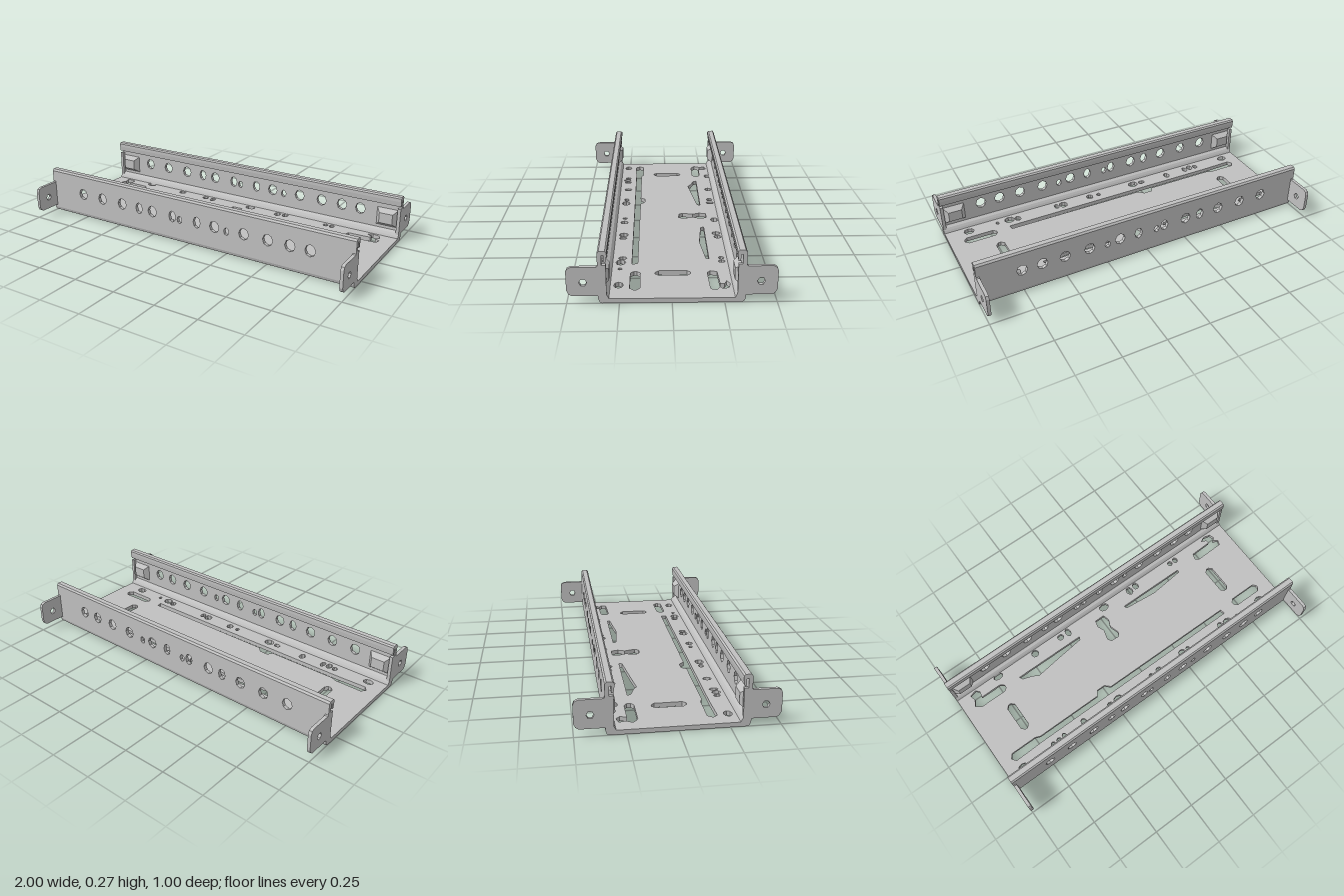
import * as THREE from 'three';

const steel = new THREE.MeshStandardMaterial({ color: 0xc0c0c0 });
steel.name = 'steelGrey';

// Closed outline from [a, b] points
const outline = (pts, C = THREE.Shape) => new C(pts.map(([a, b]) => new THREE.Vector2(a, b)));

// Many-sided opening centred at (cx, cy)
function hole(cx, cy, rx, ry = rx, n = 8) {
  const pts = [];
  for (let i = 0; i < n; i++) {
    const t = (i / n) * Math.PI * 2;
    pts.push([cx + rx * Math.cos(t), cy + ry * Math.sin(t)]);
  }
  return outline(pts, THREE.Path);
}

// Round-ended slot between two corners
function slot(x0, y0, x1, y1) {
  const r = Math.min(x1 - x0, y1 - y0) * 0.35;
  return outline([[x0 + r, y0], [x1 - r, y0], [x1, y0 + r], [x1, y1 - r],
    [x1 - r, y1], [x0 + r, y1], [x0, y1 - r], [x0, y0 + r]], THREE.Path);
}

const sheet = (shape, depth) => new THREE.ExtrudeGeometry(shape, { depth, bevelEnabled: false });

function part(name, geometry, parent) {
  const mesh = new THREE.Mesh(geometry, steel);
  mesh.name = name;
  parent.add(mesh);
}

// Profile in (z, y) swept along x, centred on cx
const sweep = (shape, width, cx = 0) =>
  sheet(shape, width).rotateY(-Math.PI / 2).translate(cx + width / 2, 0, 0);

function buildFloor(parent) {
  const s = outline([[-1, -0.32], [1, -0.32], [1, 0.32], [-1, 0.32]]);
  const poly = (pts) => outline(pts, THREE.Path);
  s.holes.push(
    // corner slots with a notch on the back pair
    poly([[-0.92, -0.28], [-0.88, -0.29], [-0.86, -0.27], [-0.87, -0.235], [-0.74, -0.235],
      [-0.72, -0.22], [-0.72, -0.2], [-0.74, -0.185], [-0.9, -0.185], [-0.93, -0.21], [-0.91, -0.245]]),
    poly([[0.83, -0.275], [0.86, -0.29], [0.9, -0.28], [0.91, -0.25], [0.89, -0.237], [0.92, -0.22],
      [0.91, -0.19], [0.74, -0.185], [0.72, -0.2], [0.73, -0.235], [0.86, -0.24], [0.86, -0.262]]),
    slot(0.72, 0.155, 0.915, 0.205),
    // upright slots near the ends
    slot(-0.785, -0.1, -0.735, 0.08), slot(0.715, -0.1, 0.765, 0.08),
    // tapered openings
    poly([[-0.62, -0.205], [-0.18, -0.205], [-0.19, -0.187], [-0.37, -0.165], [-0.52, -0.145], [-0.55, -0.165], [-0.61, -0.185]]),
    poly([[0.16, -0.205], [0.58, -0.205], [0.58, -0.19], [0.37, -0.168], [0.17, -0.187]]),
    // central keyhole
    poly([[-0.04, -0.23], [0.02, -0.23], [0.03, -0.19], [0.012, -0.15], [0.03, -0.09],
      [0.015, -0.065], [-0.035, -0.068], [-0.05, -0.09], [-0.033, -0.15], [-0.05, -0.19]]),
    // long front slot
    poly([[-0.93, 0.18], [-0.91, 0.155], [-0.75, 0.155], [-0.72, 0.167], [-0.31, 0.167], [-0.29, 0.138],
      [-0.24, 0.138], [-0.21, 0.167], [0.63, 0.17], [0.635, 0.2], [-0.73, 0.2], [-0.91, 0.205]]),
  );
  // small punched holes: x, z, half width, half depth
  [[-0.72, -0.285, 0.03, 0.018], [-0.46, -0.275, 0.022, 0.022], [-0.275, -0.27, 0.02, 0.018],
    [-0.22, -0.27, 0.016, 0.025], [0.055, -0.275, 0.03, 0.022], [0.25, -0.27, 0.02, 0.025],
    [0.3, -0.275, 0.018, 0.022], [0.57, -0.27, 0.015, 0.015], [0.61, -0.27, 0.015, 0.018],
    [-0.9, 0.26, 0.03, 0.022], [-0.685, 0.255, 0.015, 0.018], [-0.645, 0.26, 0.018, 0.024],
    [-0.605, 0.255, 0.014, 0.024], [-0.465, 0.25, 0.018, 0.024], [-0.28, 0.255, 0.02, 0.015],
    [-0.22, 0.257, 0.03, 0.025], [0.025, 0.255, 0.012, 0.014], [0.085, 0.257, 0.02, 0.022],
    [0.265, 0.255, 0.025, 0.026], [0.31, 0.257, 0.014, 0.022], [0.565, 0.25, 0.018, 0.022],
    [0.615, 0.258, 0.03, 0.026], [0.69, 0.26, 0.01, 0.012], [0.865, 0.26, 0.03, 0.024],
  ].forEach((h) => s.holes.push(hole(...h)));
  part('floorPlate', sheet(s, 0.024).rotateX(Math.PI / 2).translate(0, 0.024, 0), parent);
}

// One long side; flip keeps the hole spacing aligned on the turned side
function buildSide(name, flip) {
  const side = new THREE.Group();
  side.name = name;

  // perforated wall, flush with the lip and bend on its outer face
  const w = outline([[-1, 0.06], [1, 0.06], [1, 0.25], [-1, 0.25]]);
  [-0.76, -0.61, -0.46, -0.335, -0.24, -0.1, 0.065, 0.18, 0.365, 0.51, 0.64, 0.755].forEach((x, i) =>
    w.holes.push(hole(x * flip, 0.15, i === 3 || i === 5 || i === 6 ? 0.023 : 0.03, 0.034)));
  [-0.05, 0.257].forEach((x) => w.holes.push(hole(x * flip, 0.14, 0.016, 0.022)));
  part('perforatedWall', sheet(w, 0.02).translate(0, 0, 0.33), side);

  // lip folded inward over the wall top
  part('foldedLip', sweep(outline([[0.35, 0.25], [0.35, 0.26], [0.342, 0.271], [0.313, 0.271],
    [0.305, 0.263], [0.305, 0.245], [0.309, 0.215], [0.32, 0.215], [0.32, 0.25]]), 2), side);

  // rounded bend between wall and floor
  part('bottomBend', sweep(outline([[0.3, 0], [0.332, 0], [0.344, 0.007], [0.35, 0.025], [0.35, 0.06],
    [0.33, 0.06], [0.314, 0.05], [0.306, 0.038], [0.3, 0.024]]), 2), side);

  for (const e of [-1, 1]) {
    // mounting ear with a bolt hole
    const t = outline([[0.31, 0.04], [0.475, 0.04], [0.49, 0.05], [0.499, 0.07], [0.499, 0.165],
      [0.492, 0.182], [0.475, 0.19], [0.355, 0.19], [0.345, 0.2], [0.31, 0.2]]);
    t.holes.push(hole(0.42, 0.11, 0.019, 0.02, 6));
    part('mountingEar', sweep(t, 0.018, e * 0.991), side);

    // pressed boss tapering inward from the wall near the end
    const boss = new THREE.BoxGeometry(0.13, 0.11, 0.034);
    const p = boss.attributes.position;
    for (let i = 0; i < p.count; i++) {
      if (p.getZ(i) < 0) p.setXY(i, p.getX(i) * 0.6, p.getY(i) * 0.55);
    }
    boss.computeVertexNormals();
    part('pressedBoss', boss.translate(e * 0.92, 0.13, 0.316), side);
  }
  return side;
}

export function createModel() {
  const model = new THREE.Group();
  model.name = 'mountingChannel';
  buildFloor(model);
  const front = buildSide('frontSide', 1);
  const back = buildSide('backSide', -1);
  back.rotation.y = Math.PI;
  model.add(front, back);
  return model;
}
